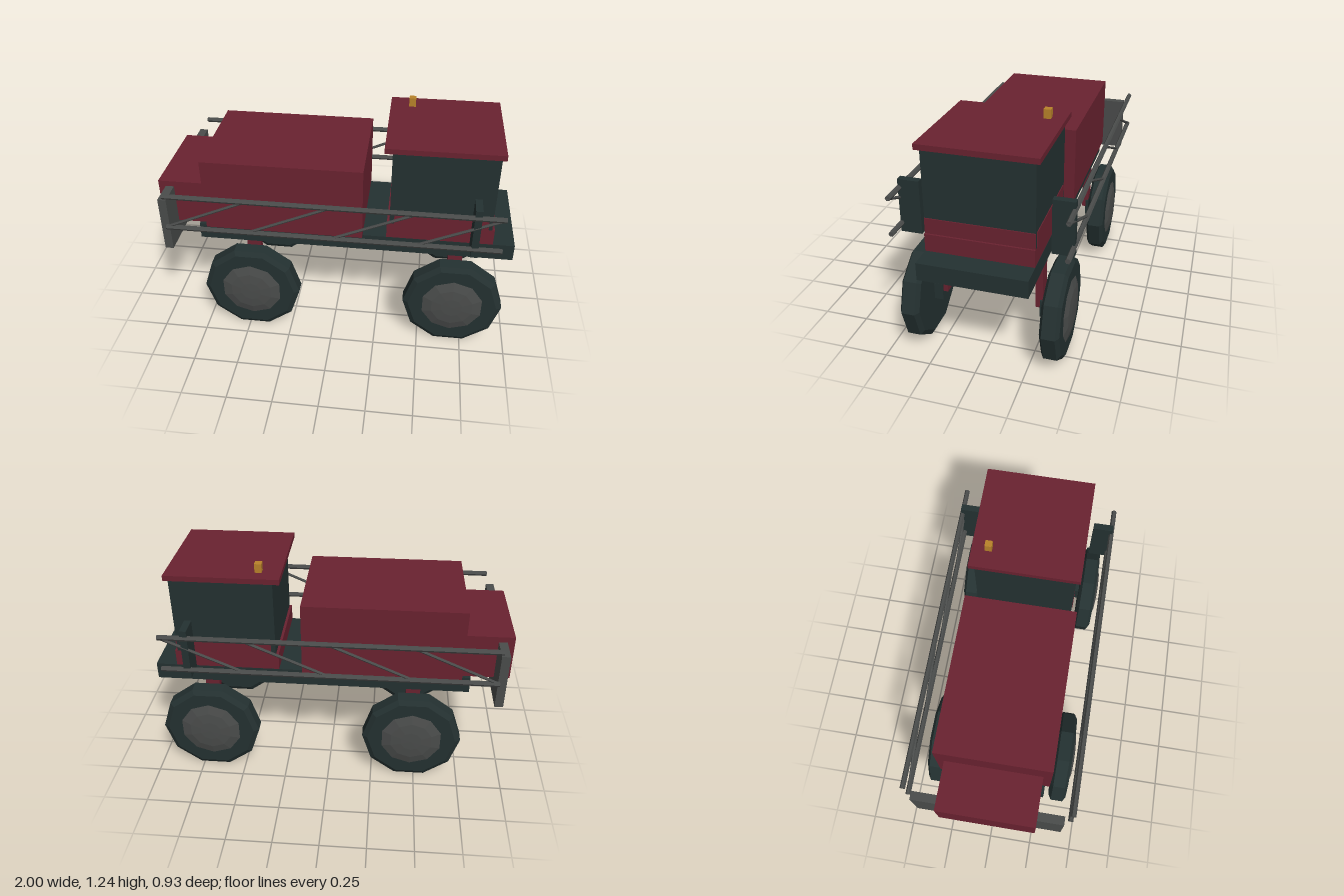
import * as THREE from 'three';

const mat = (name, color) => Object.assign(new THREE.MeshStandardMaterial({ color }), { name, flatShading: true });

export function createModel() {
  const model = new THREE.Group();
  model.name = 'fieldSprayer';
  const red = mat('darkRed', 0x6a2230);
  const dark = mat('darkSlate', 0x243131);
  const grey = mat('steelGrey', 0x4a4c4b);
  const amber = mat('amber', 0xb8822a);

  const add = (name, geometry, material, parent = model) => {
    const mesh = new THREE.Mesh(geometry, material);
    mesh.name = name;
    parent.add(mesh);
    return mesh;
  };
  // Box from its minimum and maximum corners
  const box = (name, material, [x0, x1], [y0, y1], [z0, z1], parent) => {
    const mesh = add(name, new THREE.BoxGeometry(x1 - x0, y1 - y0, z1 - z0), material, parent);
    mesh.position.set((x0 + x1) / 2, (y0 + y1) / 2, (z0 + z1) / 2);
    return mesh;
  };
  // Straight rod between two points
  const rod = (name, a, b, radius, parent) => {
    const dir = b.clone().sub(a);
    const mesh = add(name, new THREE.CylinderGeometry(radius, radius, dir.length(), 6), grey, parent);
    mesh.position.copy(a).add(b).multiplyScalar(0.5);
    mesh.quaternion.setFromUnitVectors(new THREE.Vector3(0, 1, 0), dir.normalize());
  };
  // Ten-sided lathe whose axis points along z
  const lathe = (points, start) => new THREE.LatheGeometry(
    points.map(([r, h]) => new THREE.Vector2(r, h)), 10, start).rotateX(Math.PI / 2);

  // Body
  box('chassis', dark, [-0.785, 1], [0.52, 0.617], [-0.285, 0.285]);
  box('tank', red, [-0.735, 0.157], [0.617, 1.045], [-0.312, 0.312]);
  box('rearBox', red, [-1, -0.735], [0.617, 0.88], [-0.267, 0.267]);
  box('rearBoomRack', grey, [-0.96, -0.913], [0.52, 0.848], [-0.41, 0.41]);

  // Cab
  box('cabBase', red, [0.29, 0.88], [0.617, 0.713], [-0.284, 0.284]);
  box('cab', dark, [0.305, 0.865], [0.713, 1.165], [-0.284, 0.284]);
  box('cabFrontPanel', red, [0.864, 0.87], [0.713, 0.797], [-0.284, 0.284]);
  box('cabRoof', red, [0.263, 0.885], [1.165, 1.195], [-0.307, 0.307]);
  box('beacon', amber, [0.367, 0.405], [1.195, 1.245], [-0.232, -0.193]);

  // Wheel profiles, from the inner side outwards
  const tyreGeometry = lathe([[0, -0.052], [0.25, -0.052], [0.279, -0.035], [0.279, 0.035],
    [0.25, 0.052], [0, 0.052]], Math.PI / 2);
  const hubGeometry = lathe([[0.174, 0.052], [0.12, 0.066], [0.06, 0.071], [0, 0.072]], 0);

  for (const side of [1, -1]) {
    const sideName = side > 0 ? 'Front' : 'Back';
    const span = (a, b) => (side > 0 ? [a, b] : [-b, -a]);
    box('cabSidePanel' + sideName, red, [0.33, 0.845], [0.713, 0.797], span(0.282, 0.288));

    // Wheels with their legs
    for (const x of [-0.473, 0.684]) {
      const wheel = new THREE.Group();
      wheel.name = 'wheel';
      wheel.position.set(x, 0.266, side * 0.371);
      if (side < 0) wheel.rotation.y = Math.PI;
      add('tyre', tyreGeometry, dark, wheel);
      add('hub', hubGeometry, grey, wheel);
      model.add(wheel);
      box('leg', red, [x - 0.04, x + 0.04], [0.27, 0.53], span(0.245, 0.284));
      box('axleBlock', dark, [x - 0.05, x + 0.05], [0.22, 0.318], span(0.27, 0.325));
    }

    // Folded boom truss
    const boom = new THREE.Group();
    boom.name = 'boom' + sideName;
    model.add(boom);
    const point = (x, y) => new THREE.Vector3(x, y, side * 0.449);
    const x0 = -0.915, x1 = 0.91, bay = (x1 - x0) / 4;
    for (const y of [0.7, 0.9]) rod('boomRail', point(x0, y), point(x1, y), 0.0145, boom);
    for (let i = 0; i < 4; i++) {
      rod('boomBrace', point(x0 + i * bay, 0.7), point(x0 + (i + 1) * bay, 0.9), 0.008, boom);
    }
    box('boomBracket', dark, [0.747, 0.785], [0.65, 0.947], span(0.34, 0.455), boom);
  }
  return model;
}
